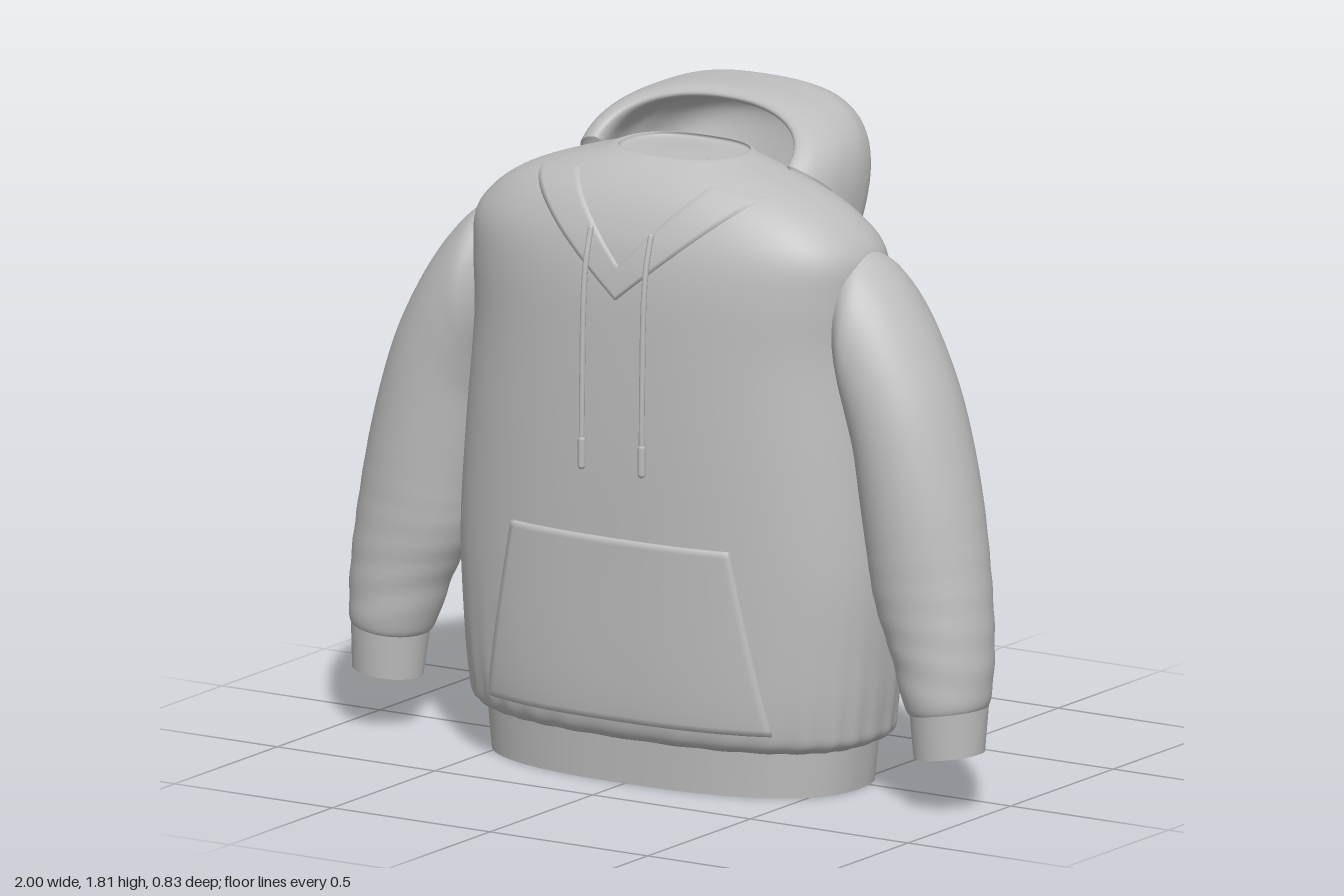
import * as THREE from 'three';

const fabric = new THREE.MeshStandardMaterial({ color: 0xbebebe, side: THREE.DoubleSide });
fabric.name = 'grey fabric';

// Smooth (or straight) interpolation through rows of numbers, t in 0..1
function sample(rows, t, smooth = true) {
  const f = Math.min(Math.max(t, 0), 1) * (rows.length - 1);
  const i = Math.min(Math.floor(f), rows.length - 2), k = f - i;
  const at = j => rows[Math.min(Math.max(j, 0), rows.length - 1)];
  const [p, a, b, q] = [at(i - 1), at(i), at(i + 1), at(i + 2)];
  return a.map((_, c) => {
    if (!smooth) return a[c] + (b[c] - a[c]) * k;
    const m = (b[c] - p[c]) / 2, n = (q[c] - a[c]) / 2, d = b[c] - a[c];
    return a[c] + m * k + (3 * d - 2 * m - n) * k * k + (m + n - 2 * d) * k * k * k;
  });
}

// Surface over a grid of (u, v); closed joins the last column to the first
function surface(name, fn, nu, nv, closed = false) {
  const pos = [], index = [], cols = closed ? nu : nu + 1;
  for (let j = 0; j <= nv; j++)
    for (let i = 0; i < cols; i++) pos.push(...fn(i / nu, j / nv));
  for (let j = 0; j < nv; j++)
    for (let i = 0; i < nu; i++) {
      const a = j * cols + i, b = j * cols + (i + 1) % cols;
      index.push(a, a + cols, b, b, a + cols, b + cols);
    }
  const g = new THREE.BufferGeometry();
  g.setAttribute('position', new THREE.Float32BufferAttribute(pos, 3));
  g.setIndex(index);
  g.computeVertexNormals();
  const mesh = new THREE.Mesh(g, fabric);
  mesh.name = name;
  return mesh;
}

const pw = (v, e) => Math.sign(v) * Math.pow(Math.abs(v), e);

// Horizontal rounded ring: row = [y, half width, front z, back z]
const ROUND = 2.45;
function ringPoint([y, w, zf, zb], u, ripple = 0) {
  const a = u * Math.PI * 2, s = 1 + ripple * Math.sin(a * 30 + 2 * Math.sin(a * 3));
  return [w * s * pw(Math.cos(a), 2 / ROUND), y,
    (zf + zb) / 2 + (zf - zb) / 2 * s * pw(Math.sin(a), 2 / ROUND)];
}

// Torso, ending in a neck rim with a shallow hollow
const torsoRows = [
  [0.115, 0.55, 0.335, -0.225], [0.14, 0.605, 0.368, -0.262], [0.2, 0.62, 0.383, -0.272],
  [0.34, 0.635, 0.39, -0.276], [0.6, 0.648, 0.392, -0.28], [0.9, 0.628, 0.394, -0.283],
  [1.18, 0.602, 0.39, -0.276], [1.35, 0.605, 0.383, -0.257], [1.46, 0.6, 0.365, -0.222],
  [1.535, 0.545, 0.338, -0.178], [1.595, 0.455, 0.303, -0.135], [1.64, 0.335, 0.262, -0.1],
  [1.67, 0.23, 0.22, -0.085], [1.685, 0.185, 0.19, -0.08], [1.672, 0.16, 0.17, -0.07],
  [1.675, 0.001, 0.06, 0.058],
];

// Front surface of the torso at (x, y)
function frontZ(x, y) {
  let lo = 0, hi = 1;
  for (let i = 0; i < 30; i++) {
    const mid = (lo + hi) / 2;
    if (sample(torsoRows, mid)[0] < y) lo = mid; else hi = mid;
  }
  const [, w, zf, zb] = sample(torsoRows, lo);
  const k = Math.max(0, 1 - Math.pow(Math.abs(x / w), ROUND));
  return (zf + zb) / 2 + (zf - zb) / 2 * Math.pow(k, 1 / ROUND);
}

// Cloth panel lying on the torso front, with its border tucked in
function panel(name, place, nu, nv, lift) {
  const spread = (t, n) => Math.min(1, Math.max(0, (t - 0.5) * n / (n - 2) + 0.5));
  return surface(name, (u, v) => {
    const rim = u === 0 || u === 1 || v === 0 || v === 1;
    const [x, y] = place(spread(u, nu), spread(v, nv));
    return [x, y, frontZ(x, y) + (rim ? -0.006 : lift)];
  }, nu, nv);
}

// Tilted ring for the arms: row = [outer x, outer y, inner x, inner y, front z, back z]
function armPoint([ox, oy, ix, iy, zf, zb], u, scale = 1) {
  const a = u * Math.PI * 2, c = Math.cos(a) * scale, s = Math.sin(a) * scale;
  return [(ox + ix) / 2 + (ox - ix) / 2 * c, (oy + iy) / 2 + (oy - iy) / 2 * c,
    (zf + zb) / 2 + (zf - zb) / 2 * s];
}

const sleeveRows = [
  [0.955, 0.272, 0.8, 0.262, 0.215, 0.03], [0.99, 0.295, 0.768, 0.275, 0.242, 0.003],
  [0.997, 0.42, 0.72, 0.41, 0.248, -0.025], [0.977, 0.62, 0.66, 0.55, 0.252, -0.055],
  [0.932, 0.86, 0.63, 0.7, 0.255, -0.082], [0.868, 1.08, 0.61, 0.83, 0.255, -0.1],
  [0.793, 1.24, 0.602, 0.91, 0.253, -0.115], [0.707, 1.37, 0.592, 0.97, 0.25, -0.128],
  [0.622, 1.455, 0.582, 1.03, 0.24, -0.125], [0.57, 1.48, 0.55, 1.1, 0.2, -0.08],
];
const cuffRows = [
  [0.968, 0.285, 0.805, 0.268, 0.215, 0.03], [0.965, 0.167, 0.815, 0.148, 0.208, 0.052],
  [0.985, 0.165, 0.795, 0.142, 0.226, 0.034], [0.988, 0.287, 0.782, 0.268, 0.236, 0.01],
];

// Hood arches, lining to back tip: [half width, foot y, foot z, crown y, crown z, squareness]
const hoodRows = [
  [0.1, 1.4, -0.2, 1.5, -0.33, 0.9], [0.28, 1.46, -0.18, 1.69, -0.36, 0.9],
  [0.31, 1.58, -0.1, 1.755, -0.28, 0.9], [0.295, 1.645, -0.005, 1.765, -0.165, 0.92],
  [0.315, 1.662, 0.02, 1.783, -0.135, 0.92], [0.362, 1.64, 0, 1.802, -0.165, 0.9],
  [0.395, 1.59, -0.06, 1.806, -0.25, 0.82], [0.4, 1.5, -0.14, 1.798, -0.355, 0.74],
  [0.37, 1.4, -0.2, 1.735, -0.412, 0.7], [0.255, 1.29, -0.235, 1.47, -0.408, 0.72],
  [0.14, 1.218, -0.25, 1.27, -0.38, 0.75], [0.07, 1.2, -0.245, 1.203, -0.35, 0.8],
  [0, 1.205, -0.24, 1.205, -0.25, 1],
];

export function createModel() {
  const model = new THREE.Group();
  model.name = 'hoodedSweatshirt';

  // Body with gathers above the hem
  model.add(surface('torso', (u, v) => {
    const row = sample(torsoRows, v);
    return ringPoint(row, u, 0.006 * Math.exp(-Math.max(0, row[0] - 0.14) * 7));
  }, 180, 90, true));

  // Ribbed hem band, hollow
  const hemRows = [[0.15, 0.545, 0.325, -0.21], [0, 0.535, 0.32, -0.205],
    [0, 0.557, 0.345, -0.23], [0.15, 0.572, 0.352, -0.238]];
  for (let i = 0; i < 3; i++)
    model.add(surface('hemBand', (u, v) =>
      ringPoint(sample(hemRows.slice(i, i + 2), v, false), u), 96, 2, true));

  // Arms, mirrored
  for (const side of [1, -1]) {
    const arm = new THREE.Group();
    arm.name = side > 0 ? 'leftArm' : 'rightArm';
    arm.add(surface('sleeve', (u, v) => {
      const row = sample(sleeveRows, v);
      const fold = 0.01 * Math.sin(row[1] * 62 + 2 * Math.cos(u * Math.PI * 2));
      const fade = Math.max(0, Math.min(1, (0.9 - row[1]) * 2));
      return armPoint(row, u, 1 + (fold - 0.005) * fade);
    }, 48, 72, true));
    for (let i = 0; i < 3; i++)
      arm.add(surface('cuff', (u, v) =>
        armPoint(sample(cuffRows.slice(i, i + 2), v, false), u), 48, 2, true));
    arm.scale.x = side;
    model.add(arm);
  }

  // Hood lying on the back
  model.add(surface('hood', (u, v) => {
    const [w, fy, fz, cy, cz, e] = sample(hoodRows, v);
    const a = u * Math.PI, t = Math.pow(Math.max(0, Math.sin(a)), e);
    return [w * pw(Math.cos(a), e), fy + (cy - fy) * t, fz + (cz - fz) * t];
  }, 64, 96));

  // V-shaped neck band
  model.add(panel('neckBand', (u, v) => {
    const k = 1 - 2 * u, s = Math.abs(k);
    return [Math.sign(k) * s * (0.355 - 0.145 * v), 1.33 + 0.09 * v + s * (0.29 - 0.07 * v)];
  }, 48, 10, 0.008));

  // Front pocket
  model.add(panel('pocket', (u, v) =>
    [(1 - 2 * u) * (0.447 - 0.104 * v), 0.18 + 0.5 * v], 48, 32, 0.012));

  // Drawstrings with thicker ends
  for (const side of [1, -1]) {
    const x = side * 0.095;
    const path = (from, to) => new THREE.CatmullRomCurve3(Array.from({ length: 8 }, (_, i) => {
      const y = from + (to - from) * i / 7;
      return new THREE.Vector3(x, y, frontZ(x, y) + 0.015);
    }));
    for (const [name, from, to, r] of [['drawstring', 1.51, 0.93, 0.008], ['drawstringEnd', 0.94, 0.87, 0.011]]) {
      const curve = path(from, to);
      const cord = new THREE.Mesh(new THREE.TubeGeometry(curve, 24, r, 8), fabric);
      cord.name = name;
      model.add(cord);
      for (const t of [0, 1]) {
        const cap = new THREE.Mesh(new THREE.SphereGeometry(r, 8, 6), fabric);
        cap.name = name + 'Cap';
        cap.position.copy(curve.getPoint(t));
        model.add(cap);
      }
    }
  }
  return model;
}
